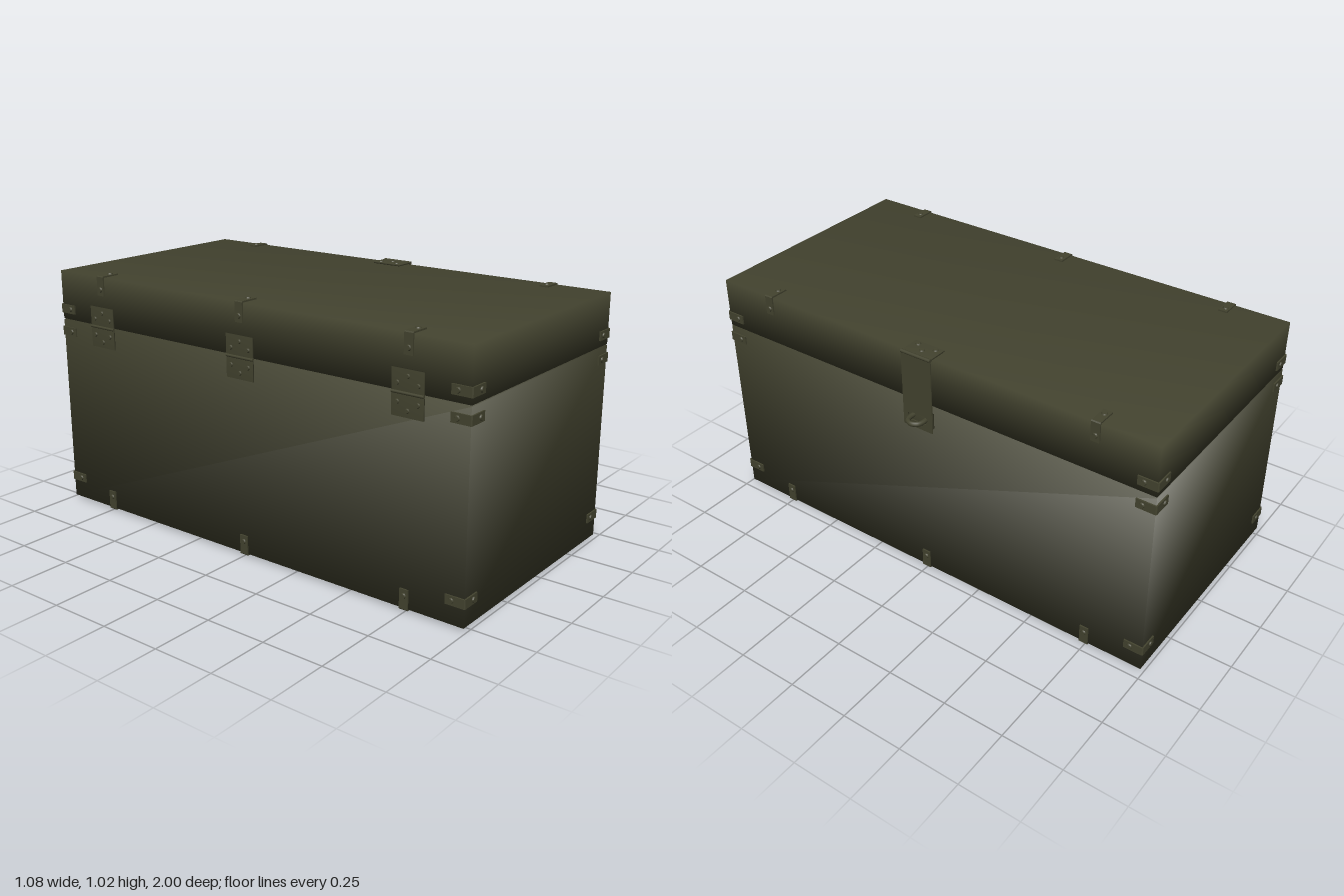
import * as THREE from 'three';
import { mergeVertices } from 'three/addons/utils/BufferGeometryUtils.js';

const olive = new THREE.MeshStandardMaterial({ color: 0x43432f });
olive.name = 'olive paint';

// Chest extents
const X0 = -0.53, X1 = 0.463, Y0 = 0.01, Y1 = 1.003, Z = 0.988, SEAM = 0.799;
const T = 0.006; // thickness of the metal fittings

function add(parent, name, geometry, x = 0, y = 0, z = 0) {
  const mesh = new THREE.Mesh(geometry, olive);
  mesh.name = name;
  mesh.position.set(x, y, z);
  parent.add(mesh);
  return mesh;
}

// Box with shared corners, so its normals are smooth across the edges
function smoothBox(w, h, d) {
  const box = new THREE.BoxGeometry(w, h, d);
  box.deleteAttribute('normal');
  box.deleteAttribute('uv');
  const merged = mergeVertices(box);
  merged.computeVertexNormals();
  return merged;
}

// Rivet head pointing along +y
function rivet(parent, x, y, z, r = 0.012) {
  return add(parent, 'rivet', new THREE.CylinderGeometry(r * 0.7, r, 0.007, 12), x, y + 0.0015, z);
}

// Angle bracket folded over an edge: outer corner at +x +y, width along z
const BL = 0.075, BW = 0.036;
const bracketGeometry = new THREE.ExtrudeGeometry(
  new THREE.Shape([[-BL, 0], [0, 0], [0, -BL], [T, -BL], [T, 0.002], [0.002, T], [-BL, T]]
    .map(([x, y]) => new THREE.Vector2(x, y))),
  { depth: BW, bevelEnabled: false }
).translate(0, 0, -BW / 2);

function bracket(name, quarterTurns, upright, x, y, z) {
  const g = new THREE.Group();
  g.name = name;
  add(g, 'bracketPlate', bracketGeometry);
  rivet(g, -0.05, T, 0);
  const side = rivet(g, 0, 0, 0);
  side.position.set(T + 0.0015, -0.05, 0);
  side.rotation.z = -Math.PI / 2;
  g.rotation.set(upright ? Math.PI / 2 : 0, 0, quarterTurns * Math.PI / 2);
  g.position.set(x, y, z);
  return g;
}

// Hinge lying on the -x side
function hinge(z) {
  const g = new THREE.Group();
  g.name = 'hinge';
  for (const s of [-1, 1]) {
    add(g, 'hingeLeaf', smoothBox(T, 0.078, 0.13), -T / 2, s * 0.045, 0);
    for (const [dy, dz] of [[0.033, -0.042], [0.06, 0], [0.033, 0.042]]) {
      const r = rivet(g, 0, s * dy, dz, 0.01);
      r.position.set(-T - 0.0015, s * dy, dz);
      r.rotation.z = Math.PI / 2;
    }
  }
  const pin = add(g, 'hingePin', new THREE.CylinderGeometry(0.006, 0.006, 0.13, 12), -0.004, 0, 0);
  pin.rotation.x = Math.PI / 2;
  g.position.set(X0, SEAM - 0.003, z);
  return g;
}

// Hasp over the +x side, with its slotted strap and staple
function hasp() {
  const g = new THREE.Group();
  g.name = 'hasp';
  add(g, 'haspTopPlate', smoothBox(0.08, T, 0.13), 0.437, Y1 + T / 2, 0);
  for (const [x, z] of [[0.415, -0.04], [0.445, 0], [0.415, 0.04]]) rivet(g, x, Y1 + T, z);
  const knuckle = add(g, 'haspKnuckle', new THREE.CylinderGeometry(0.007, 0.007, 0.134, 12), 0.481, Y1 + 0.002, 0);
  knuckle.rotation.x = Math.PI / 2;

  // Strap drawn with its width on x, then turned to face +x
  const strap = new THREE.Shape([[-0.067, 0.692], [0.067, 0.692], [0.067, Y1], [-0.067, Y1]]
    .map(([x, y]) => new THREE.Vector2(x, y)));
  const slot = new THREE.Path();
  slot.absarc(0.03, 0.737, 0.017, Math.PI / 2, -Math.PI / 2, true);
  slot.absarc(-0.03, 0.737, 0.017, -Math.PI / 2, -Math.PI * 1.5, true);
  slot.closePath();
  strap.holes.push(slot);
  const strapMesh = add(g, 'haspStrap',
    new THREE.ExtrudeGeometry(strap, { depth: 0.005, bevelEnabled: false }), 0.479, 0, 0);
  strapMesh.rotation.y = Math.PI / 2;

  add(g, 'staplePlate', smoothBox(0.009, 0.064, 0.12), X1 + 0.0045, 0.735, 0);
  const loop = new THREE.CatmullRomCurve3([
    [0.464, 0.03], [0.495, 0.03], [0.515, 0.022], [0.525, 0],
    [0.515, -0.022], [0.495, -0.03], [0.464, -0.03]
  ].map(([x, z]) => new THREE.Vector3(x, 0.736, z)));
  add(g, 'stapleLoop', new THREE.TubeGeometry(loop, 32, 0.01, 10));
  return g;
}

export function createModel() {
  const model = new THREE.Group();
  model.name = 'chest';
  const cx = (X0 + X1) / 2, w = X1 - X0, gap = 0.002;

  // Body and lid
  add(model, 'body', smoothBox(w, SEAM - gap - Y0, Z * 2), cx, (Y0 + SEAM - gap) / 2, 0);
  add(model, 'lid', smoothBox(w, Y1 - SEAM - gap, Z * 2), cx, (Y1 + SEAM + gap) / 2, 0);

  // Brackets around the upright corners
  const corners = [[X1, Z], [X0, Z], [X0, -Z], [X1, -Z]];
  for (const y of [0.102, 0.75, 0.845]) {
    corners.forEach(([x, z], i) => model.add(bracket('cornerBracket', i, true, x, y, z)));
  }

  // Brackets along the top and bottom edges; the hasp takes the middle at top +x
  for (const z of [-0.745, 0, 0.745]) {
    if (z !== 0) model.add(bracket('topBracket', 0, false, X1, Y1, z));
    model.add(bracket('topBracket', 1, false, X0, Y1, z));
    model.add(bracket('bottomBracket', 2, false, X0, Y0, z));
    model.add(bracket('bottomBracket', 3, false, X1, Y0, z));
    model.add(hinge(z));
  }

  model.add(hasp());
  return model;
}
